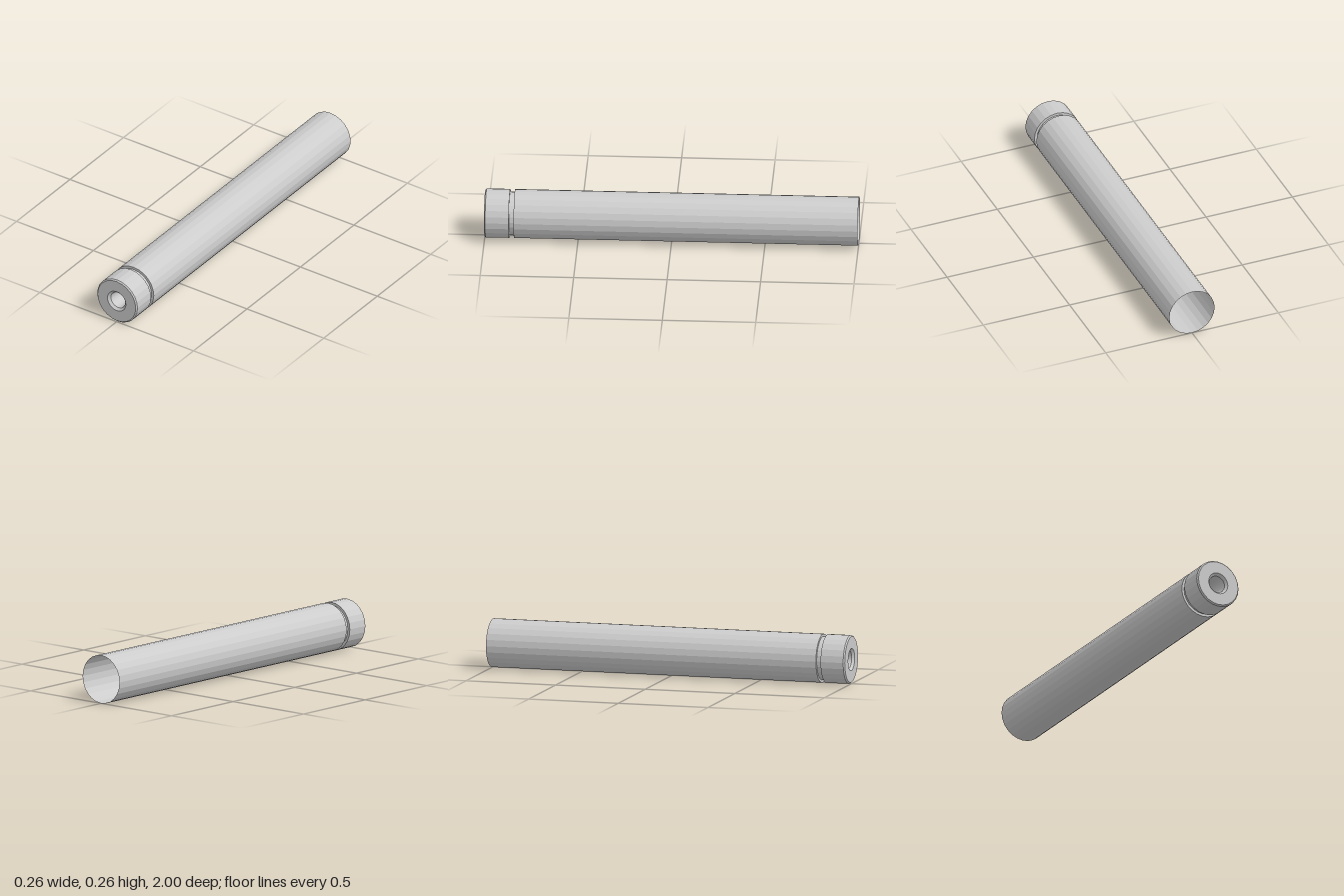
import * as THREE from 'three';

const SIDES = 24;
const RADIUS = 0.131;
const material = new THREE.MeshStandardMaterial({
  color: 0xcccccc, flatShading: true, side: THREE.DoubleSide,
});

// Revolves [radius, z] pairs around the z axis
function turned(name, profile) {
  const points = profile.map(([r, z]) => new THREE.Vector2(r, z));
  const geometry = new THREE.LatheGeometry(points, SIDES).rotateX(Math.PI / 2);
  const mesh = new THREE.Mesh(geometry, material);
  mesh.name = name;
  return mesh;
}

export function createModel() {
  const model = new THREE.Group();
  model.name = 'tube';

  // Long thin sleeve, open at the back
  const sleeve = turned('sleeve', [[RADIUS, -1], [RADIUS, 0.841]]);

  // Recessed ring between sleeve and end cap
  const groove = turned('groove', [
    [RADIUS, 0.841], [0.117, 0.841], [0.117, 0.867], [RADIUS, 0.867],
  ]);

  // Front cap with a bevelled rim and a countersunk hole
  const cap = turned('endCap', [
    [RADIUS, 0.867], [RADIUS, 0.993], [0.124, 1], [0.06, 1], [0.047, 0.987],
  ]);

  // Narrowing bore whose facets twist with depth
  const rows = 10, profile = [];
  for (let i = 0; i <= rows; i++) {
    const t = i / rows;
    profile.push([0.047 - 0.015 * t, 0.987 - 0.147 * t]);
  }
  const bore = turned('bore', profile);
  const position = bore.geometry.attributes.position;
  const v = new THREE.Vector3(), axis = new THREE.Vector3(0, 0, 1);
  for (let i = 0; i < position.count; i++) {
    v.fromBufferAttribute(position, i);
    v.applyAxisAngle(axis, (0.987 - v.z) * 6);
    position.setXYZ(i, v.x, v.y, v.z);
  }
  bore.geometry.computeVertexNormals();

  // Flat floor of the bore
  const floor = new THREE.Mesh(new THREE.CircleGeometry(0.032, SIDES), material);
  floor.name = 'boreFloor';
  floor.position.z = 0.84;

  model.add(sleeve, groove, cap, bore, floor);
  for (const part of model.children) part.position.y = RADIUS;
  return model;
}
